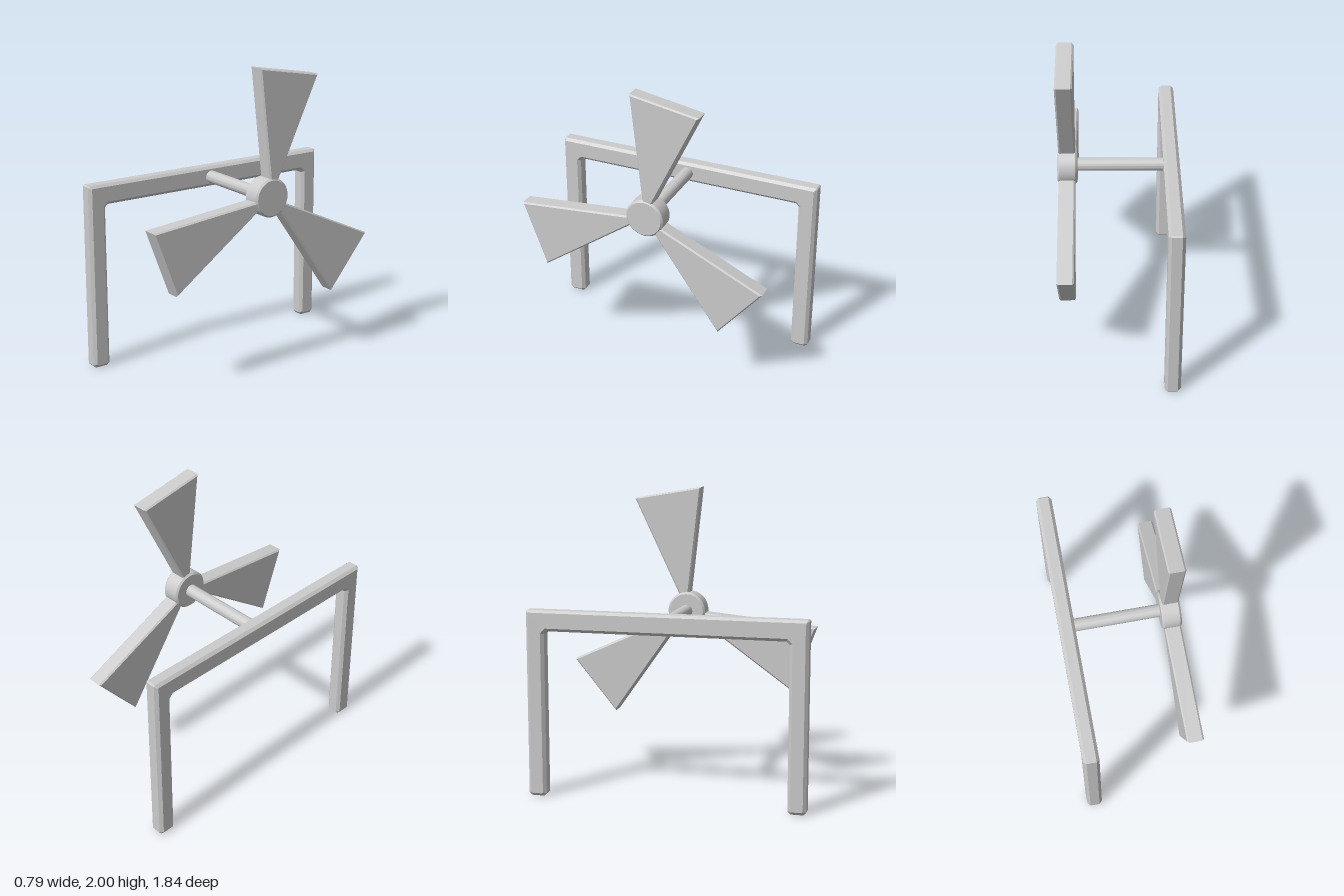
import * as THREE from 'three';
import { toCreasedNormals } from 'three/addons/utils/BufferGeometryUtils.js';

const material = new THREE.MeshStandardMaterial({ color: 0xcccccc });
const AXLE_Y = 1.167, AXLE_Z = -0.014;

function addMesh(group, name, geometry) {
  const mesh = new THREE.Mesh(geometry, material);
  mesh.name = name;
  group.add(mesh);
  return mesh;
}

// Chamfered plate with its outline in (z, y), filling x0..x1
function plate(outline, x0, x1, bevel) {
  const shape = new THREE.Shape(outline.map(([z, y]) => new THREE.Vector2(z, y)));
  const depth = x1 - x0 - 2 * bevel;
  return new THREE.ExtrudeGeometry(shape, {
    depth, bevelEnabled: true, bevelSegments: 1,
    bevelSize: bevel, bevelThickness: bevel, bevelOffset: -bevel,
  }).translate(0, 0, -depth / 2).rotateY(-Math.PI / 2).translate((x0 + x1) / 2, 0, 0);
}

// Round part turned about the x axis, from a [radius, x] profile
function turned(profile) {
  const lathe = new THREE.LatheGeometry(profile.map(([r, x]) => new THREE.Vector2(r, x)), 40);
  return toCreasedNormals(lathe.rotateZ(-Math.PI / 2), 0.5).translate(0, AXLE_Y, AXLE_Z);
}

export function createModel() {
  const model = new THREE.Group();
  model.name = 'windFan';

  // Two-legged stand, half outline mirrored in z
  const half = [
    [0.78, 1.1], [0.8, 1.08], [0.8, 0.018], [0.818, 0],
    [0.902, 0], [0.92, 0.018], [0.92, 1.228], [0.912, 1.236],
  ];
  const mirrored = half.map(([z, y]) => [-z, y]).reverse();
  addMesh(model, 'standFrame', plate([...half, ...mirrored], -0.397, -0.293, 0.02));

  // Axle from the stand to the hub
  addMesh(model, 'axle', turned([[0, -0.34], [0.042, -0.34], [0.042, 0.3], [0, 0.3]]));

  // Rotor: chamfered hub and three wedge blades
  const rotor = new THREE.Group();
  rotor.name = 'rotor';
  model.add(rotor);
  addMesh(rotor, 'hub', turned([
    [0, 0.263], [0.115, 0.263], [0.127, 0.275], [0.127, 0.378], [0.115, 0.39], [0, 0.39],
  ]));

  // Outer corners of each blade as [z, y]
  const tips = [
    [[0.08, 2.0], [-0.375, 1.923]],
    [[0.867, 1.082], [0.707, 0.652]],
    [[-0.814, 0.8], [-0.522, 0.446]],
  ];
  const root = ([z, y]) => [AXLE_Z + (z - AXLE_Z) * 0.1, AXLE_Y + (y - AXLE_Y) * 0.1];
  tips.forEach(([a, b], i) => {
    addMesh(rotor, `blade${i + 1}`, plate([root(a), a, b, root(b)], 0.276, 0.384, 0.01));
  });

  return model;
}
